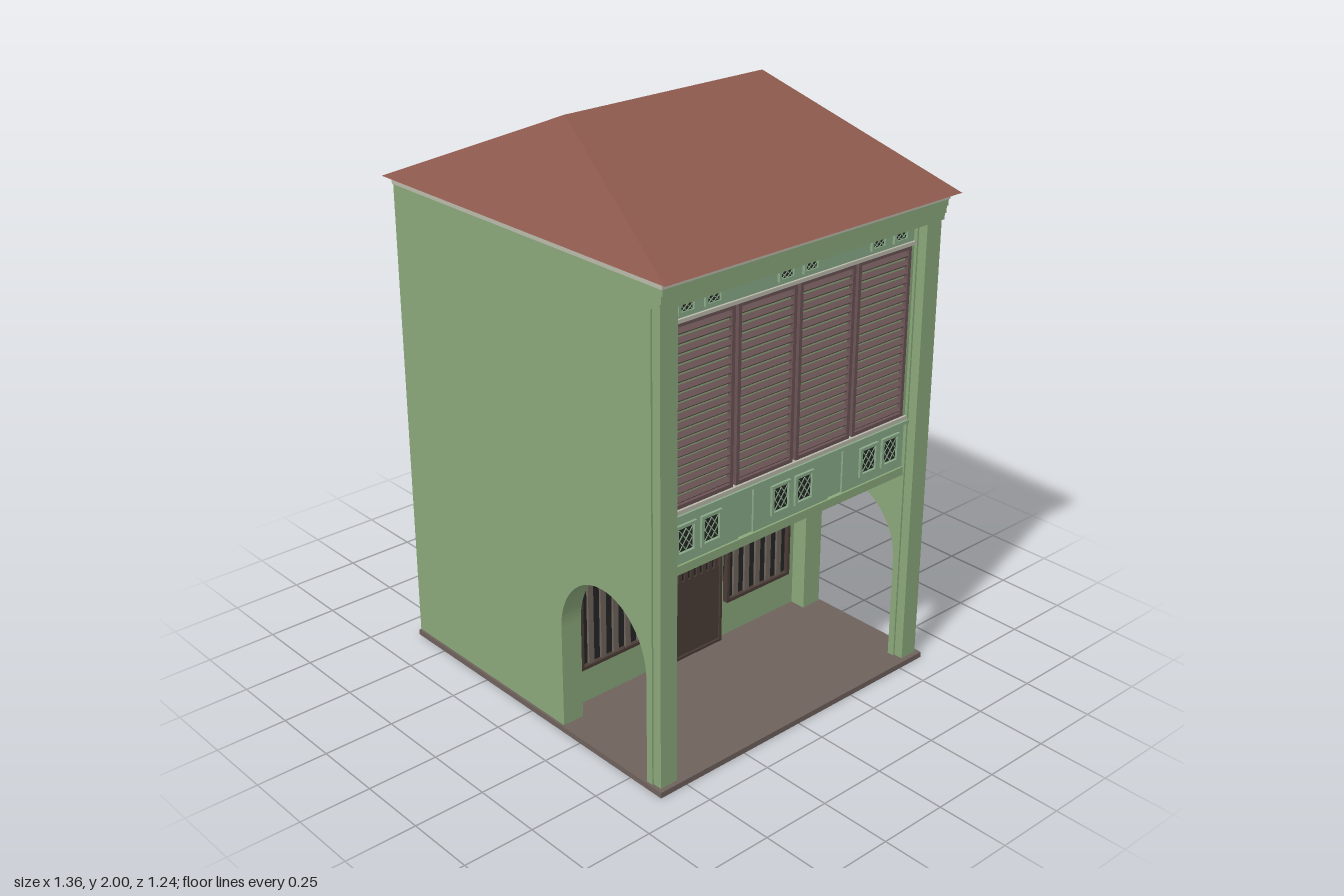
import * as THREE from 'three';

const paint = (c) => new THREE.MeshStandardMaterial({ color: c });
const MAT = {
  wall: paint(0x8aa87a), panel: paint(0x8aaa88), trim: paint(0xb9b9aa), roof: paint(0x8d594e),
  shutter: paint(0x6b5355), door: paint(0x4a3b36), bar: paint(0x6e635c), dark: paint(0x232523), floor: paint(0x6e615c),
};

// Box given by its extents along each axis
function box(parent, name, mat, [x0, x1], [y0, y1], [z0, z1]) {
  const m = new THREE.Mesh(new THREE.BoxGeometry(x1 - x0, y1 - y0, z1 - z0), mat);
  m.position.set((x0 + x1) / 2, (y0 + y1) / 2, (z0 + z1) / 2);
  m.name = name;
  parent.add(m);
  return m;
}

function group(parent, name) {
  const g = new THREE.Group();
  g.name = name;
  parent.add(g);
  return g;
}

// Rectangular frame standing in the y-z plane
function frame(parent, name, mat, xs, [y0, y1], [z0, z1], t) {
  box(parent, name, mat, xs, [y0, y0 + t], [z0, z1]);
  box(parent, name, mat, xs, [y1 - t, y1], [z0, z1]);
  box(parent, name, mat, xs, [y0 + t, y1 - t], [z0, z0 + t]);
  box(parent, name, mat, xs, [y0 + t, y1 - t], [z1 - t, z1]);
}

// Side wall with the arched passage cut out
function sideWall(parent, name, z) {
  const s = new THREE.Shape();
  s.moveTo(-0.65, 0.02);
  s.lineTo(0.16, 0.02);
  s.lineTo(0.16, 0.39);
  s.absellipse(0.365, 0.39, 0.205, 0.228, Math.PI, 0, true);
  s.lineTo(0.57, 0.02);
  s.lineTo(0.595, 0.02);
  s.lineTo(0.595, 1.68);
  s.lineTo(-0.65, 1.68);
  const m = new THREE.Mesh(new THREE.ExtrudeGeometry(s, { depth: 0.08, bevelEnabled: false, curveSegments: 24 }), MAT.wall);
  m.position.z = z;
  m.name = name;
  parent.add(m);
}

// Hipped roof with its ridge along z
function hipRoof(parent) {
  const [x, z, y, r, t] = [0.68, 0.622, 1.7, 0.41, 2.0];
  const A = [-x, y, z], B = [x, y, z], C = [x, y, -z], D = [-x, y, -z], F = [0, t, r], K = [0, t, -r];
  const tris = [A, B, F, B, C, K, B, K, F, C, D, K, D, A, F, D, F, K, A, D, C, A, C, B];
  const g = new THREE.BufferGeometry();
  g.setAttribute('position', new THREE.Float32BufferAttribute(tris.flat(), 3));
  g.computeVertexNormals();
  const m = new THREE.Mesh(g, MAT.roof);
  m.name = 'roof';
  parent.add(m);
}

// Framed vent with a diamond lattice
function vent(parent, y, z, h, w) {
  const g = group(parent, 'vent');
  box(g, 'ventOpening', MAT.dark, [0.57, 0.587], [y - h * 0.72, y + h * 0.72], [z - w * 0.66, z + w * 0.66]);
  frame(g, 'ventFrame', MAT.panel, [0.57, 0.592], [y - h, y + h], [z - w, z + w], w * 0.25);
  const len = Math.hypot(h * 0.7, w * 0.65);
  for (const side of [-1, 1]) for (const dy of [-0.34, 0.34]) for (const dz of [-0.32, 0.32]) {
    const b = box(g, 'lattice', MAT.panel, [0.585, 0.589], [y + dy * h - len / 2, y + dy * h + len / 2],
      [z + dz * w - 0.0015, z + dz * w + 0.0015]);
    b.rotation.x = side * Math.atan2(w * 0.65, h * 0.7);
  }
}

// Louvred shutter leaf
function shutter(parent, z) {
  const g = group(parent, 'shutter');
  const w = 0.122, y0 = 0.938, y1 = 1.53, n = 19;
  box(g, 'shutterBack', MAT.shutter, [0.55, 0.565], [y0, y1], [z - w, z + w]);
  frame(g, 'shutterFrame', MAT.shutter, [0.56, 0.585], [y0, y1], [z - w, z + w], 0.013);
  for (let i = 0; i < n; i++) {
    const y = y0 + 0.013 + (i + 0.5) * (y1 - y0 - 0.026) / n;
    const s = box(g, 'slat', MAT.shutter, [0.561, 0.585], [y - 0.004, y + 0.004], [z - w + 0.013, z + w - 0.013]);
    s.rotation.z = -0.7;
  }
}

// Barred ground floor window
function barredWindow(parent, z) {
  const g = group(parent, 'barredWindow');
  const w = 0.155, ys = [0.16, 0.535];
  box(g, 'windowOpening', MAT.dark, [0.09, 0.106], ys, [z - w, z + w]);
  frame(g, 'windowFrame', MAT.door, [0.09, 0.122], ys, [z - w, z + w], 0.012);
  for (let i = -2; i <= 2; i++)
    box(g, 'windowBar', MAT.bar, [0.104, 0.115], [0.172, 0.523], [z + i * 0.053 - 0.011, z + i * 0.053 + 0.011]);
}

export function createModel() {
  const house = new THREE.Group();
  house.name = 'shophouse';

  // Main volumes
  box(house, 'floorSlab', MAT.floor, [-0.65, 0.645], [0, 0.02], [-0.608, 0.608]);
  box(house, 'groundFloor', MAT.wall, [-0.65, 0.1], [0.02, 0.72], [-0.52, 0.52]);
  box(house, 'upperFloor', MAT.wall, [-0.65, 0.57], [0.72, 1.68], [-0.52, 0.52]);
  sideWall(house, 'leftWall', 0.52);
  sideWall(house, 'rightWall', -0.6);
  box(house, 'eavesTrim', MAT.trim, [-0.65, 0.648], [1.677, 1.7], [-0.605, 0.605]);
  hipRoof(house);

  // Corner pillars and stepped cornice
  for (const s of [-1, 1]) {
    const zs = [0.527, 0.594].map((v) => v * s).sort((a, b) => a - b);
    box(house, 'pillar', MAT.wall, [0.58, 0.628], [0.02, 1.61], zs);
  }
  [[1.607, 1.63, 0.634], [1.63, 1.655, 0.64], [1.655, 1.678, 0.646]].forEach(([a, b, x]) =>
    box(house, 'cornice', MAT.wall, [0.56, x], [a, b], [-0.6, 0.6]));

  // Upper facade: beam, parapet, ledge and vent band
  const facade = group(house, 'upperFacade');
  box(facade, 'beam', MAT.wall, [0.55, 0.59], [0.72, 0.75], [-0.53, 0.53]);
  box(facade, 'parapet', MAT.panel, [0.55, 0.576], [0.75, 0.915], [-0.53, 0.53]);
  box(facade, 'ledge', MAT.panel, [0.55, 0.6], [0.912, 0.924], [-0.525, 0.525]);
  box(facade, 'sill', MAT.trim, [0.55, 0.593], [0.924, 0.938], [-0.525, 0.525]);
  box(facade, 'ventBand', MAT.panel, [0.55, 0.582], [1.54, 1.608], [-0.525, 0.525]);
  box(facade, 'lintel', MAT.trim, [0.55, 0.59], [1.53, 1.542], [-0.525, 0.525]);
  for (const [z0, z1] of [[0.235, 0.525], [-0.165, 0.17], [-0.525, -0.23]])
    box(facade, 'parapetPanel', MAT.panel, [0.57, 0.583], [0.75, 0.912], [z0, z1]);
  for (const z of [0.404, 0.003, -0.4]) for (const s of [-1, 1]) {
    vent(facade, 0.832, z + s * 0.052, 0.052, 0.042);
    vent(facade, 1.58, z + s * 0.052, 0.026, 0.034);
  }
  for (let i = 0; i < 4; i++) shutter(facade, 0.383 - i * 0.2565);
  for (const z of [-0.513, 0.513]) box(facade, 'shutterJamb', MAT.wall, [0.55, 0.585], [0.938, 1.53], [z - 0.01, z + 0.01]);

  // Porch wall: windows, door and blank signboard
  const porch = group(house, 'porchWall');
  barredWindow(porch, 0.335);
  barredWindow(porch, -0.325);
  const door = group(porch, 'door');
  box(door, 'doorPanel', MAT.door, [0.09, 0.115], [0.02, 0.32], [-0.145, 0.155]);
  box(door, 'doorOpening', MAT.dark, [0.09, 0.108], [0.32, 0.52], [-0.145, 0.155]);
  frame(door, 'doorFrame', MAT.door, [0.09, 0.122], [0.02, 0.53], [-0.145, 0.155], 0.01);
  for (let i = 0; i < 10; i++)
    box(door, 'doorBar', MAT.door, [0.105, 0.117], [0.32, 0.52], [-0.128 + i * 0.028, -0.114 + i * 0.028]);
  const sign = box(porch, 'signboard', MAT.dark, [0.115, 0.125], [0.53, 0.635], [-0.07, 0.072]);
  sign.rotation.z = -0.2;

  return house;
}
